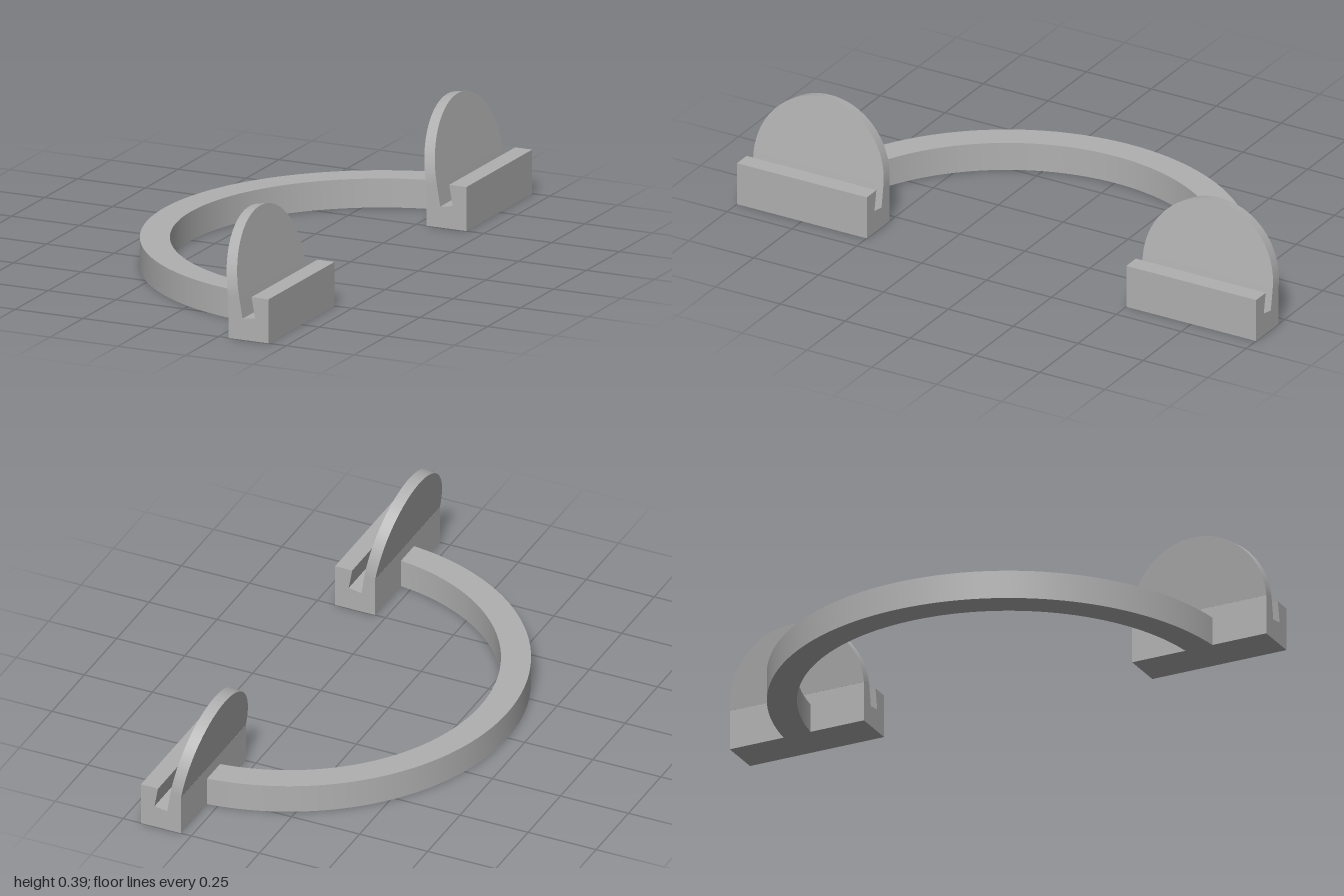
import * as THREE from 'three';
import { toCreasedNormals } from 'three/addons/utils/BufferGeometryUtils.js';

const grey = new THREE.MeshStandardMaterial({ color: 0xb0b0b0 });
grey.name = 'grey';

function extrude(shape, depth, curveSegments = 48) {
  const geometry = new THREE.ExtrudeGeometry(shape, { depth, bevelEnabled: false, curveSegments });
  return toCreasedNormals(geometry, 0.5);
}

function addMesh(parent, name, geometry) {
  const mesh = new THREE.Mesh(geometry, grey);
  mesh.name = name;
  parent.add(mesh);
  return mesh;
}

// Half ring, open towards +x, its ends sunk into the clips
function createBand() {
  const cx = 0.366, outer = 0.803, inner = 0.703;
  const start = THREE.MathUtils.degToRad(94), end = Math.PI * 2 - start;
  const shape = new THREE.Shape();
  shape.absarc(cx, 0, outer, start, end, false);
  shape.absarc(cx, 0, inner, end, start, true);
  return extrude(shape, 0.1, 80).rotateX(-Math.PI / 2);
}

// Slotted base of a clip, reaching up to where the round plate begins
function createClipBase() {
  const profile = [
    [0.2874, 0], [0.435, 0], [0.435, 0.152], [0.372, 0.152], [0.385, 0.08],
    [0.3385, 0.0725], [0.3264, 0.147], [0.2874, 0.14],
  ].map(([x, y]) => new THREE.Vector2(x, y));
  return extrude(new THREE.Shape(profile), 0.5).translate(0, 0, -0.25);
}

// Half disc leaning 10 degrees towards the band
function createClipPlate() {
  const shape = new THREE.Shape();
  shape.absarc(0, 0, 0.25, 0, Math.PI, false);
  shape.closePath();
  const tilt = THREE.MathUtils.degToRad(10);
  const up = new THREE.Vector3(-Math.sin(tilt), Math.cos(tilt), 0);
  const along = new THREE.Vector3(0, 0, 1);
  const through = new THREE.Vector3().crossVectors(along, up);
  const placement = new THREE.Matrix4().makeBasis(along, up, through).setPosition(0.3264, 0.147, 0);
  return extrude(shape, 0.0396).applyMatrix4(placement);
}

export function createModel() {
  const model = new THREE.Group();
  model.name = 'clipBand';
  addMesh(model, 'band', createBand());

  const base = createClipBase();
  const plate = createClipPlate();
  for (const [name, z] of [['frontClip', 0.75], ['backClip', -0.75]]) {
    const clip = new THREE.Group();
    clip.name = name;
    clip.position.z = z;
    addMesh(clip, 'slottedBase', base);
    addMesh(clip, 'roundPlate', plate);
    model.add(clip);
  }
  return model;
}
